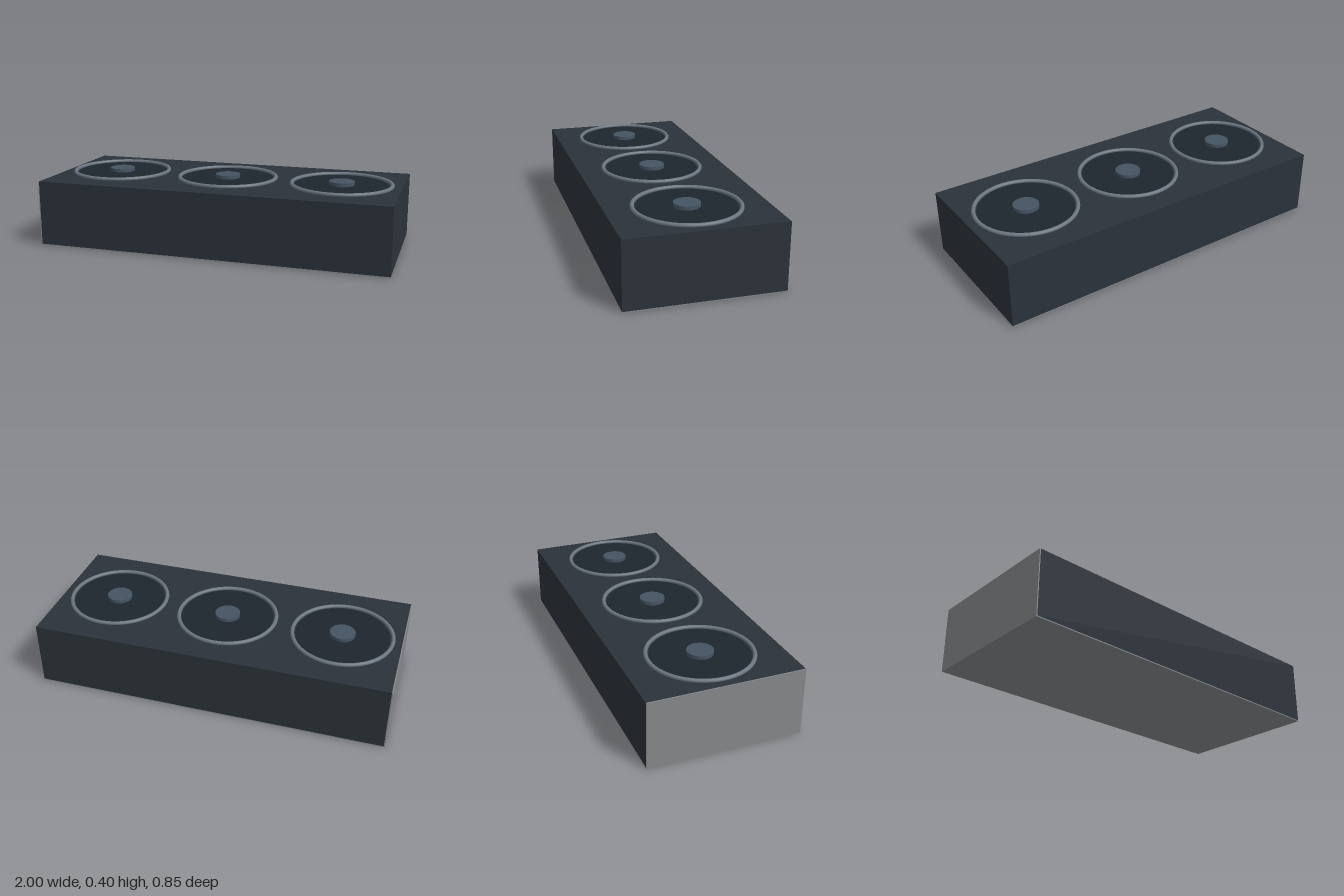
import * as THREE from 'three';

const W = 2, H = 0.375, D = 0.845, T = 0.006;

const mat = (color) => new THREE.MeshStandardMaterial({ color });

function part(parent, name, geometry, material, x, y, z) {
  const mesh = new THREE.Mesh(geometry, material);
  mesh.name = name;
  mesh.position.set(x, y, z);
  parent.add(mesh);
  return mesh;
}

export function createModel() {
  const model = new THREE.Group();
  model.name = 'speakerCabinet';

  const bodyMat = mat(0x2b323a);
  const panelMat = mat(0x85878a);
  const ringMat = mat(0x6b7580);
  const coneMat = mat(0x1d252e);
  const capMat = mat(0x455463);

  // Cabinet with a paler bottom plate and one paler end plate
  part(model, 'cabinet', new THREE.BoxGeometry(W - T, H - T, D), bodyMat, T / 2, (H + T) / 2, 0);
  part(model, 'bottomPlate', new THREE.BoxGeometry(W - T, T, D), panelMat, T / 2, T / 2, 0);
  part(model, 'endPlate', new THREE.BoxGeometry(T, H, D), panelMat, -W / 2 + T / 2, H / 2, 0);

  // Three drivers in a row on the top
  for (const i of [-1, 0, 1]) {
    const driver = new THREE.Group();
    driver.name = 'driver';
    driver.position.set(i * 0.665, H, 0);
    model.add(driver);

    const ring = new THREE.TorusGeometry(0.279, 0.011, 12, 64).rotateX(Math.PI / 2);
    part(driver, 'ring', ring, ringMat, 0, 0.0065, 0);
    part(driver, 'cone', new THREE.CylinderGeometry(0.262, 0.262, 0.004, 64), coneMat, 0, 0.001, 0);
    part(driver, 'dustCap', new THREE.CylinderGeometry(0.071, 0.071, 0.022, 48), capMat, 0, 0.012, 0);
  }
  return model;
}
